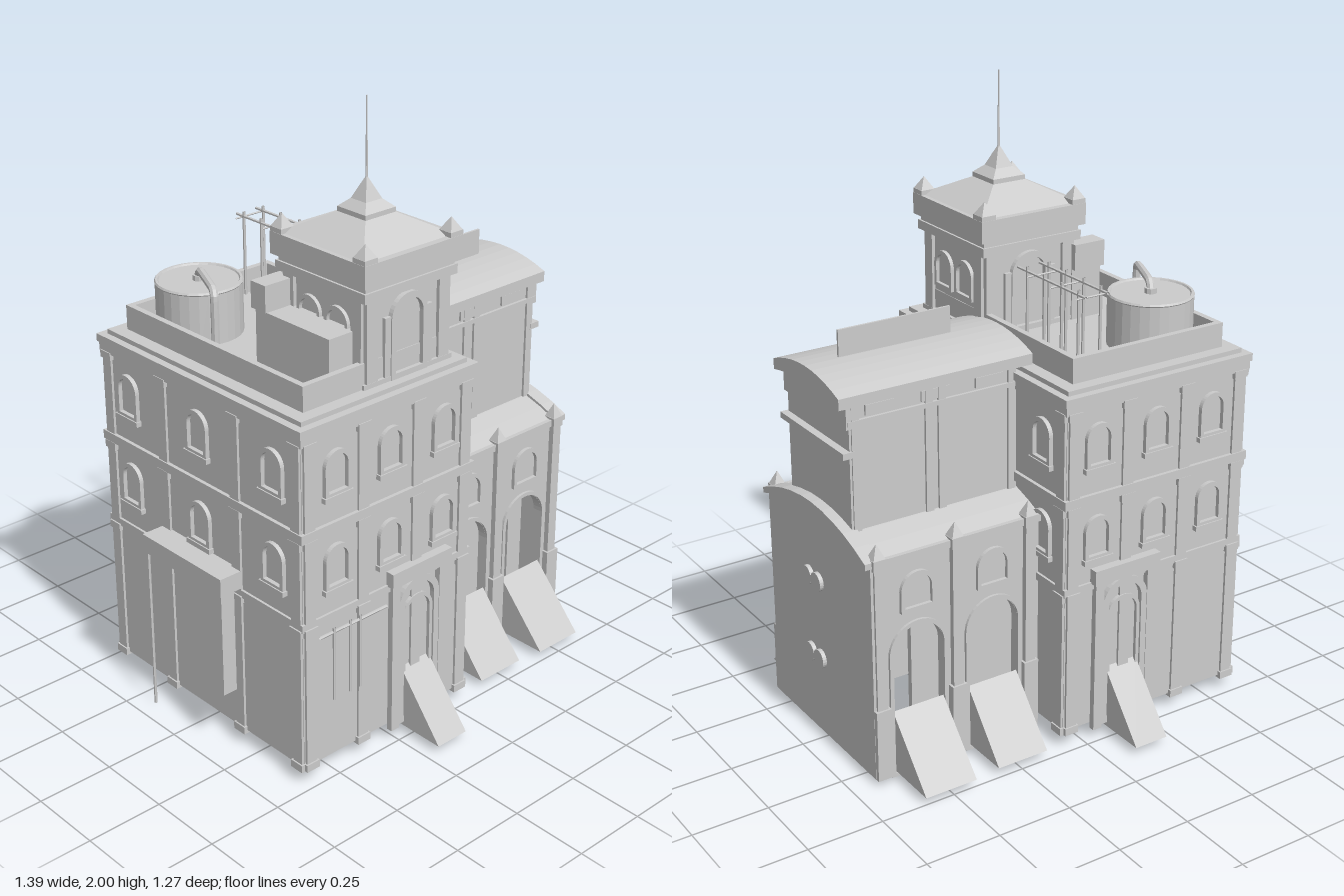
import * as THREE from 'three';

const mat = new THREE.MeshStandardMaterial({ color: 0xcccccc, flatShading: true, side: THREE.DoubleSide });

export function createModel() {
  const root = new THREE.Group();
  const add = (parent, name, geo, x = 0, y = 0, z = 0) => {
    const m = new THREE.Mesh(geo, mat);
    m.name = name;
    m.position.set(x, y, z);
    parent.add(m);
    return m;
  };
  const group = (parent, name, x = 0, y = 0, z = 0, ry = 0) => {
    const g = new THREE.Group();
    g.name = name;
    g.position.set(x, y, z);
    g.rotation.y = ry;
    parent.add(g);
    return g;
  };
  // box from its limits
  const box = (p, name, x0, x1, y0, y1, z0, z1) =>
    add(p, name, new THREE.BoxGeometry(x1 - x0, y1 - y0, z1 - z0), (x0 + x1) / 2, (y0 + y1) / 2, (z0 + z1) / 2);
  const extrude = (shape, depth) => new THREE.ExtrudeGeometry(shape, { depth, bevelEnabled: false, curveSegments: 10 });
  const rect = (S, x0, x1, y0, y1) => {
    const s = new S();
    s.moveTo(x0, y0); s.lineTo(x1, y0); s.lineTo(x1, y1); s.lineTo(x0, y1); s.closePath();
    return s;
  };
  // round-headed opening, centred on x
  const arch = (S, x, w, y0, y1) => {
    const s = new S(), r = w / 2;
    s.moveTo(x - r, y0); s.lineTo(x + r, y0); s.lineTo(x + r, y1 - r);
    s.absarc(x, y1 - r, r, 0, Math.PI, false);
    s.closePath();
    return s;
  };
  // rectangular hollow band of half sizes hx, hz
  const ring = (p, name, hx, hz, y0, y1, t) => {
    const s = rect(THREE.Shape, -hx, hx, -hz, hz);
    s.holes.push(rect(THREE.Path, -hx + t, hx - t, -hz + t, hz - t));
    return add(p, name, extrude(s, y1 - y0).rotateX(-Math.PI / 2), 0, y0, 0);
  };
  const archFrame = (p, name, x, w, y0, y1, t, depth) => {
    const s = arch(THREE.Shape, x, w, y0, y1);
    s.holes.push(arch(THREE.Path, x, w - 2 * t, y0 + t, y1 - t));
    return add(p, name, extrude(s, depth));
  };
  const pyramid = (p, name, half, h, x, y, z) =>
    add(p, name, new THREE.ConeGeometry(half * Math.SQRT2, h, 4).rotateY(Math.PI / 4), x, y + h / 2, z);
  const rod = (p, name, a, b, r = 0.005) =>
    add(p, name, new THREE.TubeGeometry(new THREE.LineCurve3(new THREE.Vector3(...a), new THREE.Vector3(...b)), 1, r, 6));
  // sloping wedge against a wall, leaning towards local +z
  const ramp = (p, x0, x1, z0, z1, h) => {
    const s = new THREE.Shape();
    s.moveTo(-z0, 0.025); s.lineTo(-z0, h); s.lineTo(-z1, 0.025); s.closePath();
    add(p, 'ramp', extrude(s, x1 - x0).rotateY(Math.PI / 2), x0);
  };

  // ---- Main block ----
  const CX = -0.27, HX = 0.34, HZ = 0.462;
  const block = group(root, 'mainBlock', CX);
  ring(block, 'walls', HX, HZ, 0.05, 1.17, 0.03);
  ring(block, 'lowerBelt', HX + 0.008, HZ + 0.008, 0.53, 0.555, 0.03);
  ring(block, 'middleBelt', HX + 0.012, HZ + 0.012, 0.825, 0.855, 0.03);
  ring(block, 'cornice', HX + 0.01, HZ + 0.01, 1.13, 1.16, 0.03);
  ring(block, 'corniceTop', HX + 0.015, HZ + 0.015, 1.16, 1.185, 0.05);
  box(block, 'roofDeck', -HX + 0.01, HX - 0.01, 1.17, 1.2, -HZ + 0.01, HZ - 0.01);
  ring(block, 'parapet', 0.285, 0.41, 1.19, 1.28, 0.02);

  const facade = (name, g, windows, pilasters) => {
    g.name = name;
    for (const u of windows) for (const y of [0.635, 0.94]) {
      archFrame(g, 'windowFrame', u, 0.1, y, y + 0.145, 0.013, 0.014);
      box(g, 'windowSill', u - 0.055, u + 0.055, y - 0.012, y + 0.004, 0, 0.018);
    }
    for (const u of pilasters) {
      box(g, 'pilaster', u - 0.02, u + 0.02, 0.04, 1.14, -0.01, 0.008);
      for (const y of [0.04, 0.51, 0.8, 1.11]) box(g, 'pilasterBlock', u - 0.025, u + 0.025, y, y + 0.025, -0.01, 0.013);
    }
  };
  const door = (g, u) => {
    archFrame(g, 'doorFrame', u, 0.17, 0.04, 0.545, 0.022, 0.018);
    archFrame(g, 'doorInnerFrame', u, 0.125, 0.04, 0.48, 0.012, 0.012);
    box(g, 'doorLintel', u - 0.125, u + 0.125, 0.55, 0.6, 0, 0.03);
    for (const s of [-1, 1]) box(g, 'doorPost', u + s * 0.1 - 0.016, u + s * 0.1 + 0.016, 0.03, 0.55, 0, 0.02);
    ramp(g, u - 0.06, u + 0.06, 0, 0.172, 0.235);
  };
  const front = group(block, 'f', 0, 0, HZ);
  const back = group(block, 'b', 0, 0, -HZ, Math.PI);
  const leftSide = group(block, 's', HX, 0, 0, Math.PI / 2);
  const rightSide = group(block, 's', -HX, 0, 0, -Math.PI / 2);
  facade('frontFacade', front, [-0.21, 0.005, 0.225], [-0.315, -0.105, 0.115, 0.315]);
  facade('backFacade', back, [-0.225, -0.005, 0.21], [-0.315, -0.115, 0.105, 0.315]);
  facade('leftFacade', leftSide, [-0.35, 0.34], [-0.44, 0.44]);
  facade('rightFacade', rightSide, [-0.34, 0, 0.34], [-0.44, -0.17, 0.17, 0.44]);
  door(front, 0.12);
  door(back, -0.12);

  // hanging bars beside the front door
  rod(front, 'barRail', [-0.29, 0.495, 0.018], [-0.02, 0.495, 0.018]);
  for (const u of [-0.235, -0.17, -0.13]) rod(front, 'hangingBar', [u, 0.26, 0.02], [u, 0.51, 0.02]);

  // canopy on the side wall, with panel and pole
  box(root, 'canopy', -0.695, -0.61, 0.56, 0.62, -0.19, 0.19);
  box(root, 'canopyPanel', -0.69, -0.64, 0.21, 0.56, 0.165, 0.185);
  rod(root, 'canopyPole', [-0.683, 0, -0.18], [-0.683, 0.56, -0.18]);

  // ---- Roof equipment ----
  const tank = group(root, 'waterTank', -0.39, 1.2, -0.255);
  add(tank, 'tankBody', new THREE.CylinderGeometry(0.135, 0.135, 0.165, 28), 0, 0.083);
  add(tank, 'tankRim', new THREE.TorusGeometry(0.13, 0.007, 6, 28).rotateX(Math.PI / 2), 0, 0.165);
  const pipe = new THREE.CatmullRomCurve3([[0, 0.15, 0], [0, 0.18, 0], [-0.008, 0.2, 0.02], [-0.07, 0.2, 0.155],
    [-0.08, 0.18, 0.175], [-0.08, 0, 0.175]].map(a => new THREE.Vector3(...a)), false, 'catmullrom', 0.2);
  add(tank, 'pipe', new THREE.TubeGeometry(pipe, 30, 0.013, 8));
  add(tank, 'pipeFlange', new THREE.CylinderGeometry(0.02, 0.02, 0.02, 10), 0, 0.172);
  const trellis = group(root, 'roofTrellis');
  for (const x of [-0.1, -0.02]) {
    rod(trellis, 'topRail', [x, 1.465, -0.42], [x, 1.465, -0.07]);
    for (const z of [-0.385, -0.3, -0.21, -0.12]) rod(trellis, 'post', [x, 1.19, z], [x, 1.48, z]);
  }
  for (const z of [-0.4, -0.27, -0.15]) rod(trellis, 'bracket', [-0.12, 1.458, z], [0, 1.458, z], 0.003);
  box(root, 'roofHut', -0.42, -0.31, 1.2, 1.37, 0.05, 0.37);
  box(root, 'roofHutTop', -0.425, -0.31, 1.37, 1.455, 0.035, 0.1);

  // ---- Tower ----
  const tower = group(root, 'tower', -0.152, 0, 0.237);
  box(tower, 'towerBody', -0.165, 0.165, 1.19, 1.48, -0.17, 0.17);
  box(tower, 'towerBase', -0.178, 0.178, 1.19, 1.215, -0.183, 0.183);
  box(tower, 'lowerCornice', -0.185, 0.185, 1.47, 1.5, -0.193, 0.193);
  box(tower, 'frieze', -0.178, 0.178, 1.5, 1.52, -0.186, 0.186);
  box(tower, 'upperCornice', -0.196, 0.196, 1.52, 1.59, -0.203, 0.203);
  for (let i = 0; i < 4; i++) {
    const side = group(tower, 'towerSide', 0, 0, 0, i * Math.PI / 2);
    const w = group(side, 'towerOpenings', 0, 0, i % 2 ? 0.165 : 0.17);
    for (const s of [-1, 1]) {
      box(w, 'towerPilaster', s * 0.145 - 0.022, s * 0.145 + 0.022, 1.2, 1.47, -0.01, 0.012);
      if (i % 2) {
        archFrame(w, 'towerWindow', s * 0.06, 0.1, 1.3, 1.425, 0.012, 0.012);
      } else {
        box(w, 'archPost', s * 0.083 - 0.012, s * 0.083 + 0.012, 1.2, 1.4, 0, 0.012);
      }
    }
    if (i % 2 === 0) archFrame(w, 'towerArch', 0, 0.145, 1.2, 1.46, 0.018, 0.016);
  }
  for (const sx of [-1, 1]) for (const sz of [-1, 1]) {
    box(tower, 'pinnacleBase', sx * 0.17 - 0.025, sx * 0.17 + 0.025, 1.52, 1.605, sz * 0.177 - 0.025, sz * 0.177 + 0.025);
    pyramid(tower, 'pinnacle', 0.024, 0.04, sx * 0.17, 1.605, sz * 0.177);
  }
  // hipped roof and flared spire as a four-sided turning
  const spire = [[0.19, 1.585], [0.06, 1.655], [0.06, 1.67], [0.032, 1.695], [0.014, 1.735], [0, 1.765]];
  add(tower, 'towerRoof', new THREE.LatheGeometry(
    spire.map(([r, y]) => new THREE.Vector2(r * Math.SQRT2, y)), 4).rotateY(Math.PI / 4));
  add(tower, 'mast', new THREE.CylinderGeometry(0.002, 0.004, 0.26, 6), 0, 1.87);

  // ---- Wing with raised nave ----
  const wing = group(root, 'wing', 0, 0, -0.008);
  // curved strip along x, from the edge height up to the crown
  const vault = (name, half, edge, top, t, x0, x1) => {
    const s = new THREE.Shape();
    s.moveTo(-half, edge - t); s.lineTo(-half, edge);
    s.quadraticCurveTo(0, 2 * top - edge, half, edge);
    s.lineTo(half, edge - t);
    s.quadraticCurveTo(0, 2 * top - edge - t * 2, -half, edge - t);
    add(wing, name, extrude(s, x1 - x0).rotateY(Math.PI / 2), x0);
  };
  const gable = (name, half, y0, edge, top, x0, x1) => {
    const s = new THREE.Shape();
    s.moveTo(-half, y0); s.lineTo(half, y0); s.lineTo(half, edge);
    s.quadraticCurveTo(0, 2 * top - edge, -half, edge);
    s.closePath();
    add(wing, name, extrude(s, x1 - x0).rotateY(Math.PI / 2), x0);
  };
  gable('endWall', 0.32, 0.02, 0.75, 0.825, 0.645, 0.672);
  vault('endWallTrim', 0.322, 0.76, 0.835, 0.02, 0.64, 0.69);
  vault('aisleRoof', 0.315, 0.755, 0.825, 0.02, 0.07, 0.66);
  gable('naveEndWall', 0.188, 0.8, 1.21, 1.255, 0.63, 0.655);
  vault('naveRoof', 0.2, 1.235, 1.275, 0.035, 0.02, 0.692);
  box(wing, 'naveEndBand', 0.64, 0.68, 1.04, 1.06, -0.195, 0.195);
  box(wing, 'naveEndFrieze', 0.64, 0.665, 1.13, 1.2, -0.192, 0.192);
  box(wing, 'ridgeCrest', 0.185, 0.575, 1.265, 1.36, 0.005, 0.013);

  for (const s of [1, -1]) {
    const side = group(wing, s > 0 ? 'frontAisle' : 'backAisle');
    side.scale.z = s;
    const bays = [0.24, 0.51];
    const wall = rect(THREE.Shape, 0.07, 0.66, 0.02, 0.75);
    bays.forEach(x => wall.holes.push(arch(THREE.Path, x, 0.18, 0.022, 0.51)));
    add(side, 'aisleWall', extrude(wall, 0.03), 0, 0, 0.28);
    const nave = rect(THREE.Shape, 0.07, 0.65, 0.02, 1.22);
    nave.holes.push(rect(THREE.Path, 0.46, 0.58, 0.022, 0.43));
    add(side, 'naveWall', extrude(nave, 0.02), 0, 0, 0.165);
    box(side, 'aisleEave', 0.07, 0.66, 0.735, 0.758, 0.29, 0.322);
    box(side, 'naveFrieze', 0.07, 0.66, 1.14, 1.155, 0.18, 0.195);
    box(side, 'naveEave', 0.04, 0.68, 1.2, 1.225, 0.17, 0.2);
    for (const x of [0.09, 0.34, 0.385, 0.635]) box(side, 'navePilaster', x - 0.013, x + 0.013, 0.8, 1.21, 0.18, 0.193);
    for (const x of [0.17, 0.36, 0.55]) box(side, 'friezePanel', x - 0.05, x + 0.05, 1.162, 1.195, 0.18, 0.192);
    for (const x of bays) {
      archFrame(side, 'aisleWindow', x, 0.12, 0.56, 0.69, 0.013, 0.012).position.z = 0.31;
      archFrame(side, 'bayArch', x, 0.205, 0.005, 0.525, 0.013, 0.01).position.z = 0.309;
      ramp(side, x - 0.09, x + 0.09, 0.308, x > 0.4 ? 0.495 : 0.482, 0.23);
    }
    // piers with pointed caps
    for (const x of [0.11, 0.375, 0.645]) {
      box(side, 'pierFoot', x - 0.026, x + 0.026, 0.02, 0.26, 0.28, 0.335);
      box(side, 'pier', x - 0.018, x + 0.018, 0.26, 0.76, 0.28, 0.328);
      box(side, 'pierCap', x - 0.022, x + 0.022, 0.73, 0.765, 0.285, 0.332);
      pyramid(side, 'pierPoint', 0.02, 0.045, x, 0.765, 0.31);
    }
  }
  // paired round plates on the end wall
  for (const y of [0.29, 0.56]) for (const z of [0.035, -0.025]) {
    add(wing, 'roundPlate', new THREE.CylinderGeometry(0.031, 0.031, 0.014, 20).rotateZ(Math.PI / 2), 0.678, y, z + 0.028);
  }
  return root;
}
